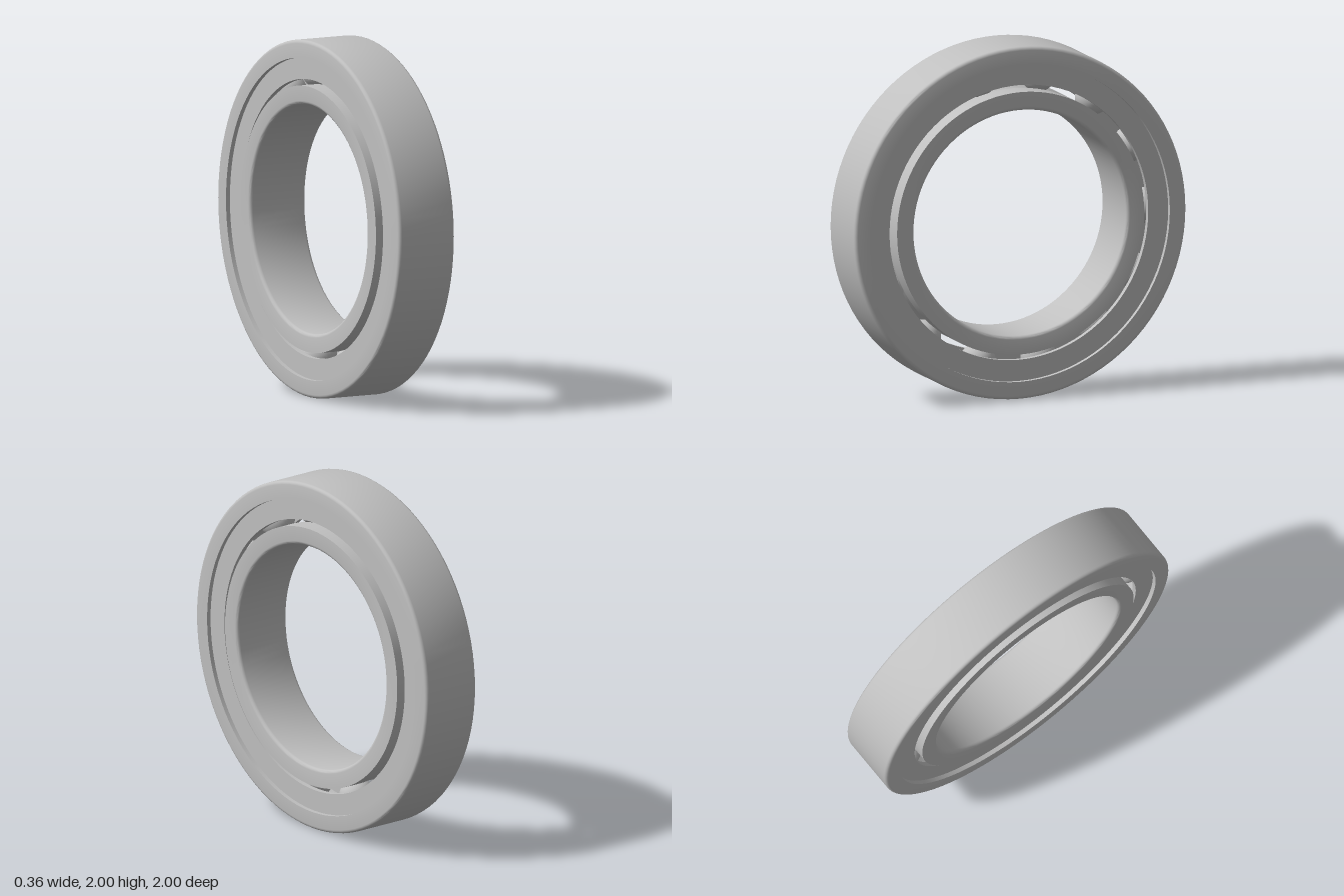
import * as THREE from 'three';
import { toCreasedNormals } from 'three/addons/utils/BufferGeometryUtils.js';

const HALF = 0.18;        // half width of the bearing
const PITCH = 0.82;       // radius of the circle of ball centres
const BALL = 0.1;
const BALL_COUNT = 14;

// Points of an arc in the (radius, axis) plane
function arc(r, y, radius, from, to, steps) {
  return Array.from({ length: steps + 1 }, (_, i) => {
    const a = from + (to - from) * i / steps;
    return [r + radius * Math.cos(a), y + radius * Math.sin(a)];
  });
}

// Closed counter-clockwise profile turned around the x axis
function ring(name, profile, material) {
  const points = [...profile, profile[0]].map(([r, y]) => new THREE.Vector2(r, y));
  const geometry = toCreasedNormals(new THREE.LatheGeometry(points, 96), 0.6);
  geometry.rotateZ(-Math.PI / 2);
  const mesh = new THREE.Mesh(geometry, material);
  mesh.name = name;
  return mesh;
}

export function createModel() {
  const group = new THREE.Group();
  group.name = 'ballBearing';
  const steel = new THREE.MeshStandardMaterial({ color: 0xc0c0c0 });
  steel.name = 'steel';
  const PI = Math.PI;
  const f = 0.02;          // edge rounding
  const groove = BALL + 0.002;

  // Outer race: rounded rim, ball groove on the inside
  const outerHalfAngle = Math.acos((0.9 - PITCH) / groove);
  group.add(ring('outerRace', [
    [0.9, -HALF],
    ...arc(1 - f, -HALF + f, f, -PI / 2, 0, 4),
    ...arc(1 - f, HALF - f, f, 0, PI / 2, 4),
    [0.9, HALF],
    ...arc(PITCH, 0, groove, outerHalfAngle, -outerHalfAngle, 10),
  ], steel));

  // Inner race: rounded bore, ball groove on the outside
  const innerHalfAngle = Math.acos((PITCH - 0.745) / groove);
  group.add(ring('innerRace', [
    [0.745, -HALF],
    ...arc(PITCH, 0, groove, PI + innerHalfAngle, PI - innerHalfAngle, 10),
    [0.745, HALF],
    ...arc(0.64 + f, HALF - f, f, PI / 2, PI, 4),
    ...arc(0.64 + f, -HALF + f, f, PI, PI * 1.5, 4),
  ], steel));

  // Slightly recessed shields on both sides
  for (const side of [-1, 1]) {
    const lo = Math.min(side * 0.155, side * 0.125);
    const hi = lo + 0.03;
    group.add(ring(side > 0 ? 'leftShield' : 'rightShield',
      [[0.78, lo], [0.9, lo], [0.9, hi], [0.78, hi]], steel));
  }

  // Balls
  const balls = new THREE.Group();
  balls.name = 'balls';
  const ballGeometry = new THREE.SphereGeometry(BALL, 32, 20);
  for (let i = 0; i < BALL_COUNT; i++) {
    const a = i * 2 * PI / BALL_COUNT;
    const ball = new THREE.Mesh(ballGeometry, steel);
    ball.name = 'ball';
    ball.position.set(0, PITCH * Math.sin(a), PITCH * Math.cos(a));
    balls.add(ball);
  }
  group.add(balls);

  // Stand the bearing on the ground
  group.children.forEach((part) => { part.position.y = 1; });
  return group;
}
